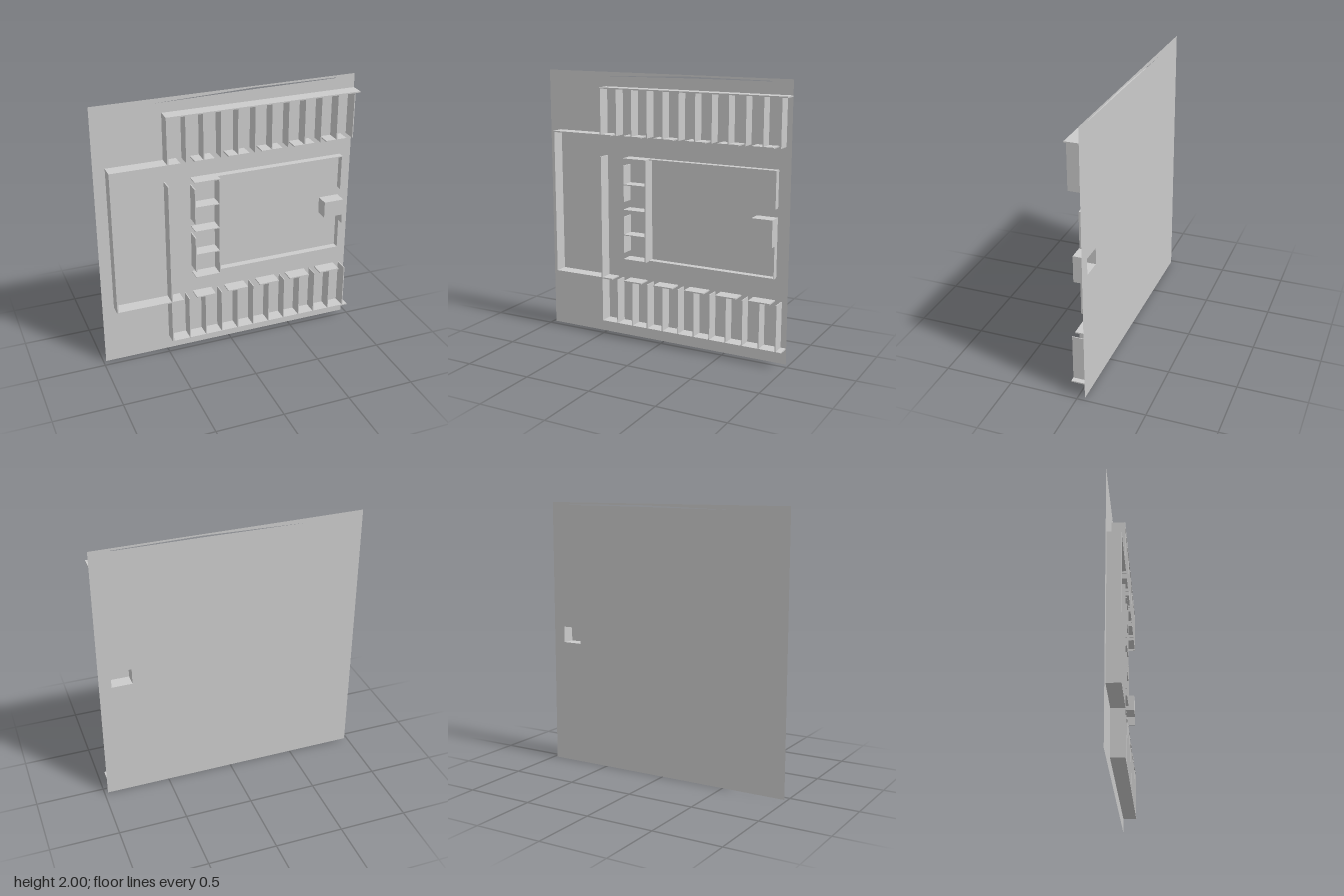
import * as THREE from 'three';

const BACK = -0.05, FULL = 0.1, HALF = 0.05, T = 0.009;
const material = new THREE.MeshStandardMaterial({ color: 0xcccccc, side: THREE.DoubleSide });

export function createModel() {
  const model = new THREE.Group();

  function block(parent, name, x0, x1, y0, y1, depth) {
    const mesh = new THREE.Mesh(new THREE.BoxGeometry(x1 - x0, y1 - y0, depth), material);
    mesh.position.set((x0 + x1) / 2, (y0 + y1) / 2, BACK + depth / 2);
    mesh.name = name;
    parent.add(mesh);
    return mesh;
  }
  // Walls are given by their centre lines
  const across = (g, name, y, x0, x1, depth = FULL, t = T) =>
    block(g, name, x0 - t / 2, x1 + t / 2, y - t / 2, y + t / 2, depth);
  const upright = (g, name, x, y0, y1, depth = FULL, t = T) =>
    block(g, name, x - t / 2, x + t / 2, y0, y1, depth);
  const section = (name) => {
    const g = new THREE.Group();
    g.name = name;
    model.add(g);
    return g;
  };

  // Thin floor sheet with a sliver gap at the top edge and an opening under the box
  const outline = (pts) => pts.map(([x, y]) => new THREE.Vector2(x, y));
  const sheet = new THREE.Shape(outline([[-0.98, 0], [0.975, 0], [0.97, 2], [-0.98, 2]]));
  sheet.holes.push(
    new THREE.Path(outline([[0.732, 0.932], [0.732, 1.053], [0.883, 1.053], [0.883, 0.932]])),
    new THREE.Path(outline([[-0.54, 1.967], [0.2, 1.989], [0.82, 1.984], [0.82, 1.98], [0.2, 1.977]])),
  );
  const floor = new THREE.Mesh(new THREE.ShapeGeometry(sheet), material);
  floor.position.z = BACK;
  floor.name = 'floorSheet';
  model.add(floor);

  // Two rows of rooms along the top and bottom, with doorway gaps
  const doorWalls = [[-0.89, -0.395], [-0.283, -0.145], [-0.034, 0.114],
    [0.22, 0.368], [0.468, 0.62], [0.722, 0.876]];
  for (const [name, inner, outer] of [['upperRooms', 1.547, 1.89], ['lowerRooms', 0.457, 0.115]]) {
    const row = section(name);
    const low = Math.min(inner, outer), high = Math.max(inner, outer);
    across(row, 'outerWall', outer, -0.48, 0.966);
    upright(row, 'endWall', -0.48, low, high);
    for (let i = 0; i < 11; i++) upright(row, 'divider', -0.346 + i * 0.1275, low, high, FULL, 0.007);
    for (const [a, b] of doorWalls) across(row, 'corridorWall', inner, a, b);
  }

  // Hall on the left
  const hall = section('hall');
  upright(hall, 'hallEndWall', -0.89, 0.457, 1.547);
  upright(hall, 'hallPartition', -0.48, 0.457, 1.385);

  // Central block: four small rooms beside a court with low walls
  const core = section('centralBlock');
  for (const y of [0.627, 0.815, 1.003, 1.193, 1.385])
    across(core, 'smallRoomWall', y, -0.287, -0.104, FULL, 0.007);
  upright(core, 'smallRoomFront', -0.287, 1.063, 1.333);
  upright(core, 'smallRoomFront', -0.287, 0.677, 0.95);
  upright(core, 'courtPartition', -0.104, 0.627, 1.385);
  for (const y of [0.627, 1.385]) across(core, 'courtLowWall', y, -0.104, 0.882, HALF, 0.006);
  upright(core, 'courtEndWall', 0.882, 1.12, 1.385, HALF, 0.006);
  upright(core, 'courtEndWall', 0.882, 0.627, 0.86, HALF, 0.006);
  upright(core, 'courtEndWall', 0.882, 0.86, 0.93, FULL, 0.006);

  // Hollow box in the court, open at the back (last box face left out)
  const box = block(core, 'hollowBox', 0.731, 0.885, 0.93, 1.055, FULL);
  box.geometry.setIndex(Array.from(box.geometry.index.array).slice(0, 30));
  box.geometry.clearGroups();

  return model;
}
